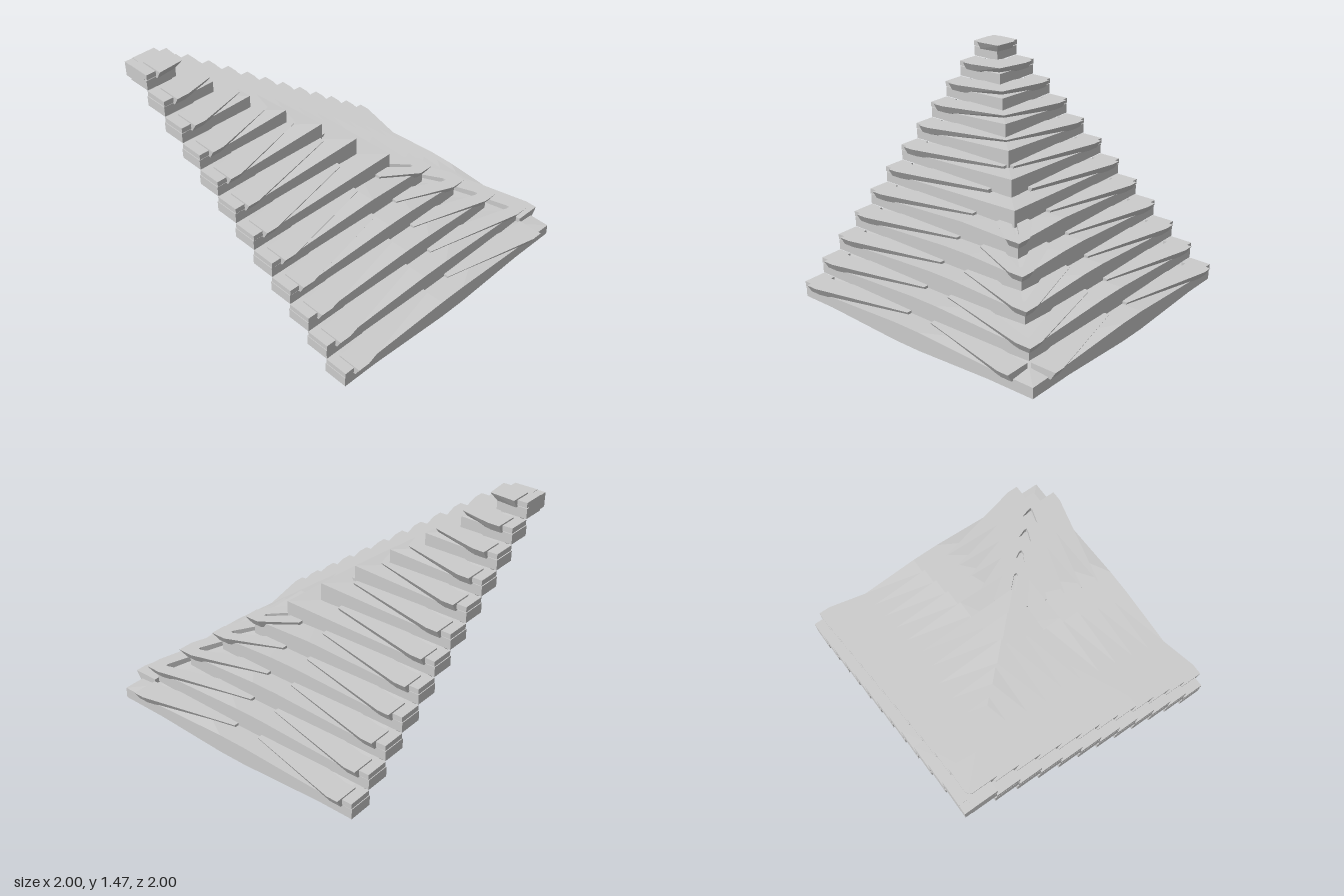
import * as THREE from 'three';

const LAYERS = 12, STEP = 0.157, RISE = 0.1175, OUTER = 0.945;
const material = new THREE.MeshStandardMaterial({ color: 0xcccccc, flatShading: true });
const { clamp, lerp } = THREE.MathUtils;

// Loft through four-cornered sections; mirrored swaps the arm across the diagonal x = -z
function loft(sections, mirrored) {
  const out = [];
  const tri = (a, b, c) => {
    for (const [x, y, z] of mirrored ? [a, c, b] : [a, b, c]) {
      out.push(...(mirrored ? [-z, y, -x] : [x, y, z]));
    }
  };
  const quad = (a, b, c, d) => { tri(a, b, c); tri(a, c, d); };
  quad(...sections[0]);
  for (let i = 0; i + 1 < sections.length; i++) {
    const a = sections[i], b = sections[i + 1];
    for (let j = 0; j < 4; j++) {
      const k = (j + 1) % 4;
      quad(a[j], b[j], b[k], a[k]);
    }
  }
  quad(...[...sections[sections.length - 1]].reverse());
  const g = new THREE.BufferGeometry();
  g.setAttribute('position', new THREE.Float32BufferAttribute(out, 3));
  g.computeVertexNormals();
  return g;
}

// Stations run along z; a mitred sweep is cut along the diagonal
function sweep(d, stations, profile, mitred) {
  const sections = stations.map(z => profile(z).map(([o, y]) => [d + o, y, z]));
  if (mitred) sections.push(profile(-d).map(([o, y]) => [d + o, y, -(d + o)]));
  return sections;
}

const block = (x0, x1, y0, y1) => () => [[x0, y0], [x1, y0], [x1, y1], [x0, y1]];

// Plank: overhanging inner face at its ends, dropping to a deep upright section midway
function plankProfile(z, innerLimit) {
  const m = clamp(Math.min((0.75 - z) / 0.6, (z + 0.65) / 0.6), 0, 1);
  return [
    [Math.max(innerLimit, lerp(-0.17, -0.28, m)), lerp(0.055, 0, m)],
    [lerp(0, 0.01, m), lerp(0.055, 0.035, m)],
    [lerp(0, 0.01, m), lerp(0.13, 0.165, m)],
    [Math.max(innerLimit, -0.3), 0.155],
  ];
}

// Upper strip with a slanted outer face
const stripSection = (o, w) => [[o - w, 0.12], [o - 0.035, 0.12], [o, 0.178], [o - w, 0.178]];

export function createModel() {
  const model = new THREE.Group();
  for (let i = 0; i < LAYERS; i++) {
    const d = OUTER - i * STEP;
    const layer = new THREE.Group();
    layer.name = `layer${i + 1}`;
    layer.position.y = i * RISE;
    const parts = [];

    // Main plank from the open end to the corner
    const plank = z => plankProfile(z, -0.925 - d);
    const plankStops = [0.93, 0.75, 0.15, -0.05, -0.6].filter(z => z === 0.93 || z > 0.33 - d);
    parts.push(['plank', sweep(d, plankStops, plank, true)]);

    // Strip at the open end, sliding inward towards the middle
    const endStrip = z => stripSection(lerp(-0.11, 0.05, clamp((z - 0.16) / 0.69, 0, 1)), 0.17);
    const short = -d > 0.1;
    const stops = [0.93, 0.85, 0.16].filter(z => !short || z > -d - endStrip(-d)[0][0] + 0.01);
    parts.push(['endStrip', sweep(d, stops, endStrip, short)]);

    // Strip that flares back out to the corner; the lowest one stops short of it
    if (d > 0.2) {
      const bend = i ? 0.06 - d : -0.72;
      const flare = z => {
        const t = clamp((-0.04 - z) / (-0.04 - bend), 0, 1);
        return stripSection(lerp(-0.11, 0.05, t), lerp(0.14, i ? 0.09 : 0.18, t));
      };
      parts.push(['cornerStrip', sweep(d, i ? [-0.04, bend] : [-0.04, bend, -0.8], flare, i > 0)]);
    }

    // Square end block with a small tongue above it
    parts.push(['endBlock', sweep(d, [1, 0.92], block(-0.17, 0, 0.055, 0.125), false)]);
    parts.push(['tongue', sweep(d, [1, 0.9], block(-0.16, 0.005, 0.132, 0.168), false)]);

    for (const [name, sections] of parts) {
      for (const mirrored of [false, true]) {
        const mesh = new THREE.Mesh(loft(sections, mirrored), material);
        mesh.name = (mirrored ? 'back_' : 'left_') + name;
        layer.add(mesh);
      }
    }
    model.add(layer);
  }

  // Filled square at the peak
  const peak = new THREE.Mesh(new THREE.BoxGeometry(0.2, 0.1, 0.2), material);
  peak.name = 'peakBlock';
  peak.position.set(-0.9, (LAYERS - 1) * RISE + 0.115, 0.9);
  model.add(peak);
  return model;
}
